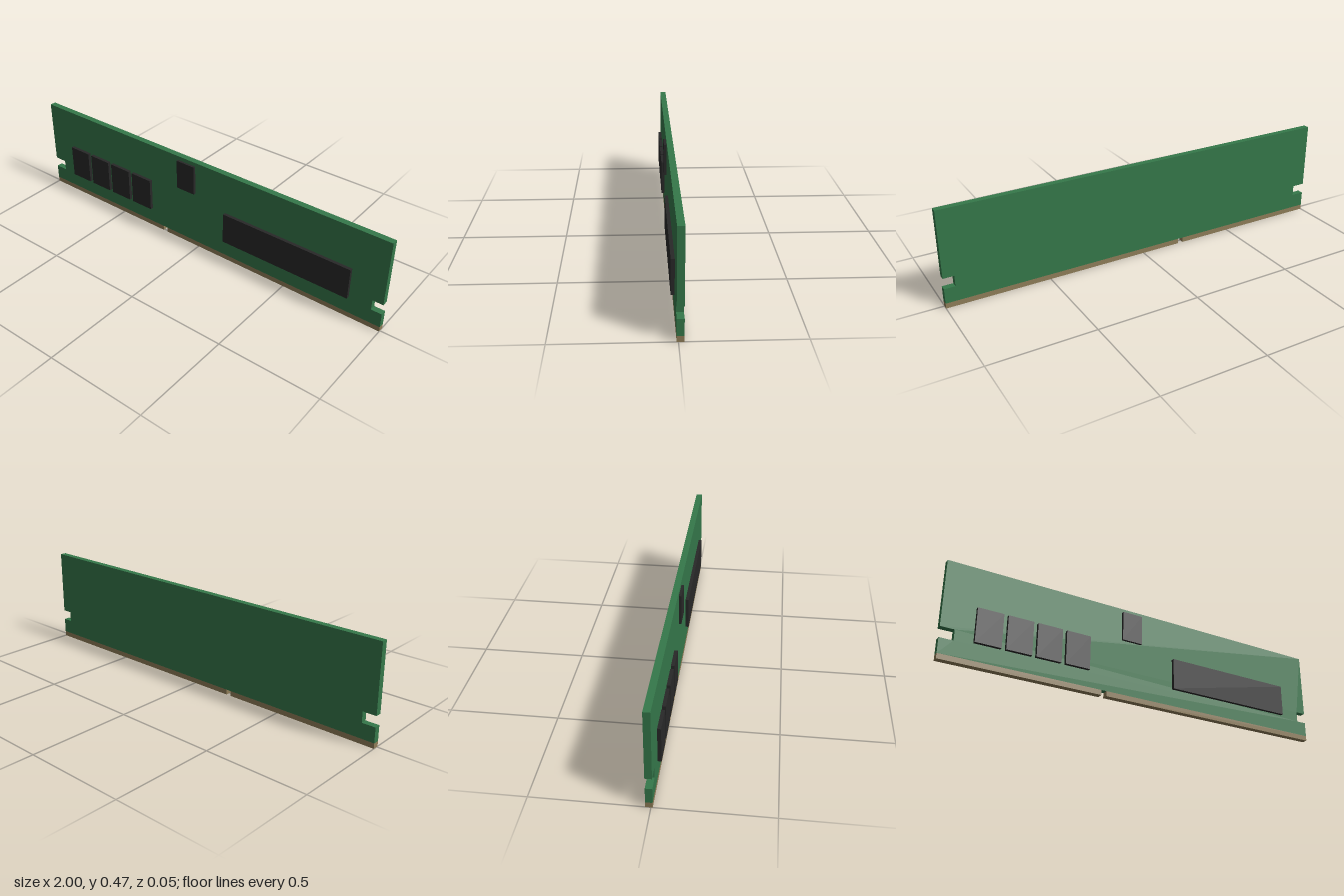
import * as THREE from 'three';

const BACK = -0.023, FACE = 0.007; // board thickness range in z

export function createModel() {
  const group = new THREE.Group();
  const green = new THREE.MeshStandardMaterial({ color: 0x35784a });
  const gold = new THREE.MeshStandardMaterial({ color: 0x8f7d58 });
  const black = new THREE.MeshStandardMaterial({ color: 0x282828 });

  const add = (name, geometry, material) => {
    const mesh = new THREE.Mesh(geometry, material);
    mesh.name = name;
    group.add(mesh);
  };
  // Box given by its limits on each axis
  const block = (name, material, x0, x1, y0, y1, z0, z1) => {
    const g = new THREE.BoxGeometry(x1 - x0, y1 - y0, z1 - z0);
    g.translate((x0 + x1) / 2, (y0 + y1) / 2, (z0 + z1) / 2);
    add(name, g, material);
  };

  // Circuit board with a latch notch in each end
  const outline = [
    [-1, 0.025], [1, 0.025], [1, 0.098], [0.948, 0.098], [0.948, 0.15], [1, 0.15],
    [1, 0.475], [-1, 0.475], [-1, 0.15], [-0.935, 0.15], [-0.935, 0.098], [-1, 0.098],
  ].map(([x, y]) => new THREE.Vector2(x, y));
  const board = new THREE.ExtrudeGeometry(new THREE.Shape(outline), {
    depth: FACE - BACK, bevelEnabled: false,
  });
  board.translate(0, 0, BACK);
  add('circuitBoard', board, green);

  // Contact strips either side of the key gap
  block('contactStripRight', gold, -1, -0.228, 0, 0.025, BACK, FACE);
  block('contactStripLeft', gold, -0.202, 1, 0, 0.025, BACK, FACE);

  // Row of four memory chips
  for (let i = 0; i < 4; i++) {
    const x = -0.849 + i * 0.143;
    block(`memoryChip${i + 1}`, black, x, x + 0.122, 0.107, 0.274, FACE, 0.023);
  }

  // Small controller chip and long chip
  block('controllerChip', black, -0.124, -0.02, 0.305, 0.455, FACE, 0.019);
  block('longChip', black, 0.159, 0.837, 0.111, 0.268, FACE, 0.023);

  return group;
}
